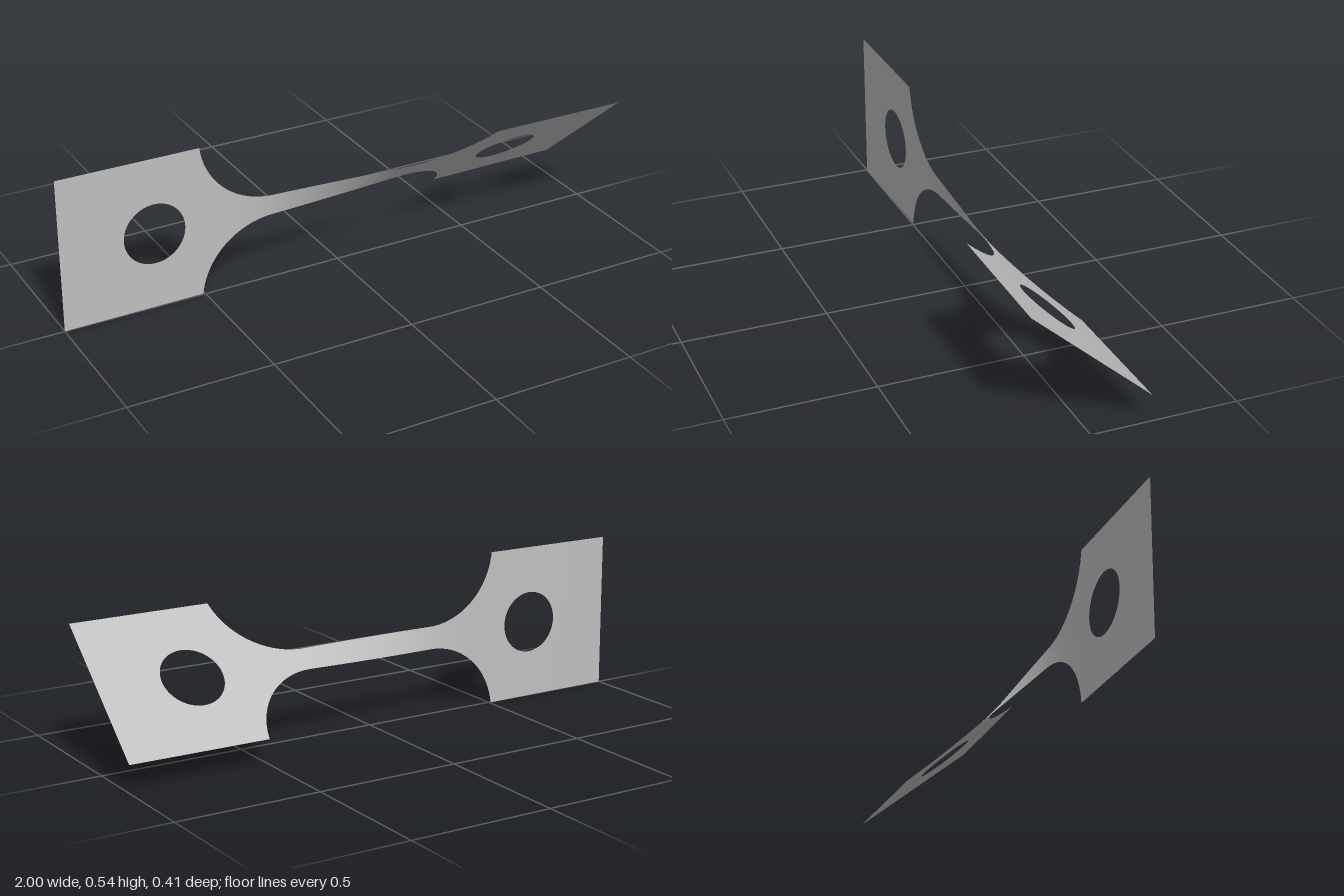
import * as THREE from 'three';
import { mergeVertices } from 'three/addons/utils/BufferGeometryUtils.js';

const HALF = 0.271;                             // half height of the end tabs
const NECK = 0.039;                             // half height of the neck
const FILLET = { x: 0.246, r: 0.262 };          // round between neck and tab
const HOLE = { x: 0.672, r: 0.108 };
const CORNER = FILLET.x + Math.sqrt(FILLET.r ** 2 - (NECK + FILLET.r - HALF) ** 2);
const TWIST = THREE.MathUtils.degToRad(48.7);

// Half height of the outline at x
function halfHeight(x) {
  const d = Math.abs(x) - FILLET.x;
  if (d <= 0) return NECK;
  if (Math.abs(x) >= CORNER) return HALF;
  return Math.min(HALF, NECK + FILLET.r - Math.sqrt(Math.max(0, FILLET.r ** 2 - d * d)));
}

// Half height of the hole at x
function holeHeight(x) {
  const d = Math.abs(x) - HOLE.x;
  return Math.sqrt(Math.max(0, HOLE.r ** 2 - d * d));
}

// Twist builds up fastest where the strip is narrow
const STEPS = 2000;
const turn = [0];
for (let i = 0; i < STEPS; i++) {
  const x = -1 + (2 * (i + 0.5)) / STEPS;
  turn.push(turn[i] + 1 / halfHeight(x) ** 2);
}
function angleAt(x) {
  const f = ((x + 1) / 2) * STEPS;
  const i = Math.min(STEPS - 1, Math.floor(f));
  return 0.003 + (TWIST * THREE.MathUtils.lerp(turn[i], turn[i + 1], f - i)) / turn[STEPS];
}

// Twisted sheet through the given x columns, as bands above and below the axis
function sheet(columns) {
  const rows = 8, pos = [], index = [];
  for (const side of [-1, 1]) {
    const start = pos.length / 3;
    columns.forEach((x, c) => {
      const a = angleAt(x);
      const inner = side * holeHeight(x), outer = side * halfHeight(x);
      const lo = Math.min(inner, outer), hi = Math.max(inner, outer);
      for (let r = 0; r <= rows; r++) {
        const h = THREE.MathUtils.lerp(lo, hi, r / rows);
        pos.push(x, HALF + h * Math.cos(a), h * Math.sin(a));
        if (c === 0 || r === 0) continue;
        const d = start + c * (rows + 1) + r, b = d - rows - 1;
        index.push(b - 1, d - 1, d, b - 1, d, b);
      }
    });
  }
  const g = new THREE.BufferGeometry();
  g.setAttribute('position', new THREE.Float32BufferAttribute(pos, 3));
  g.setIndex(index);
  const merged = mergeVertices(g, 1e-5);
  merged.computeVertexNormals();
  return merged;
}

const range = (n, f) => Array.from({ length: n + 1 }, (_, i) => f(i / n));

export function createModel() {
  const group = new THREE.Group();
  const metal = new THREE.MeshStandardMaterial({ color: 0xc0c0c0, side: THREE.DoubleSide });
  metal.name = 'light grey metal';

  // Columns crowd together around the hole and along the fillet
  const tab = [
    ...range(3, t => THREE.MathUtils.lerp(CORNER, HOLE.x - HOLE.r, t)),
    ...range(40, t => HOLE.x - HOLE.r * Math.cos(Math.PI * t)).slice(1),
    ...range(4, t => THREE.MathUtils.lerp(HOLE.x + HOLE.r, 1, t)).slice(1),
  ];
  const end = Math.asin((CORNER - FILLET.x) / FILLET.r);
  const fillet = range(28, t => FILLET.x + FILLET.r * Math.sin(end * t));
  const mirror = list => list.map(x => -x).reverse();
  const neck = [
    ...mirror(fillet),
    ...range(40, t => FILLET.x * (2 * t - 1)).slice(1, -1),
    ...fillet,
  ];

  const parts = { rightTab: mirror(tab), twistedNeck: neck, leftTab: tab };
  for (const [name, columns] of Object.entries(parts)) {
    const mesh = new THREE.Mesh(sheet(columns), metal);
    mesh.name = name;
    group.add(mesh);
  }
  return group;
}
